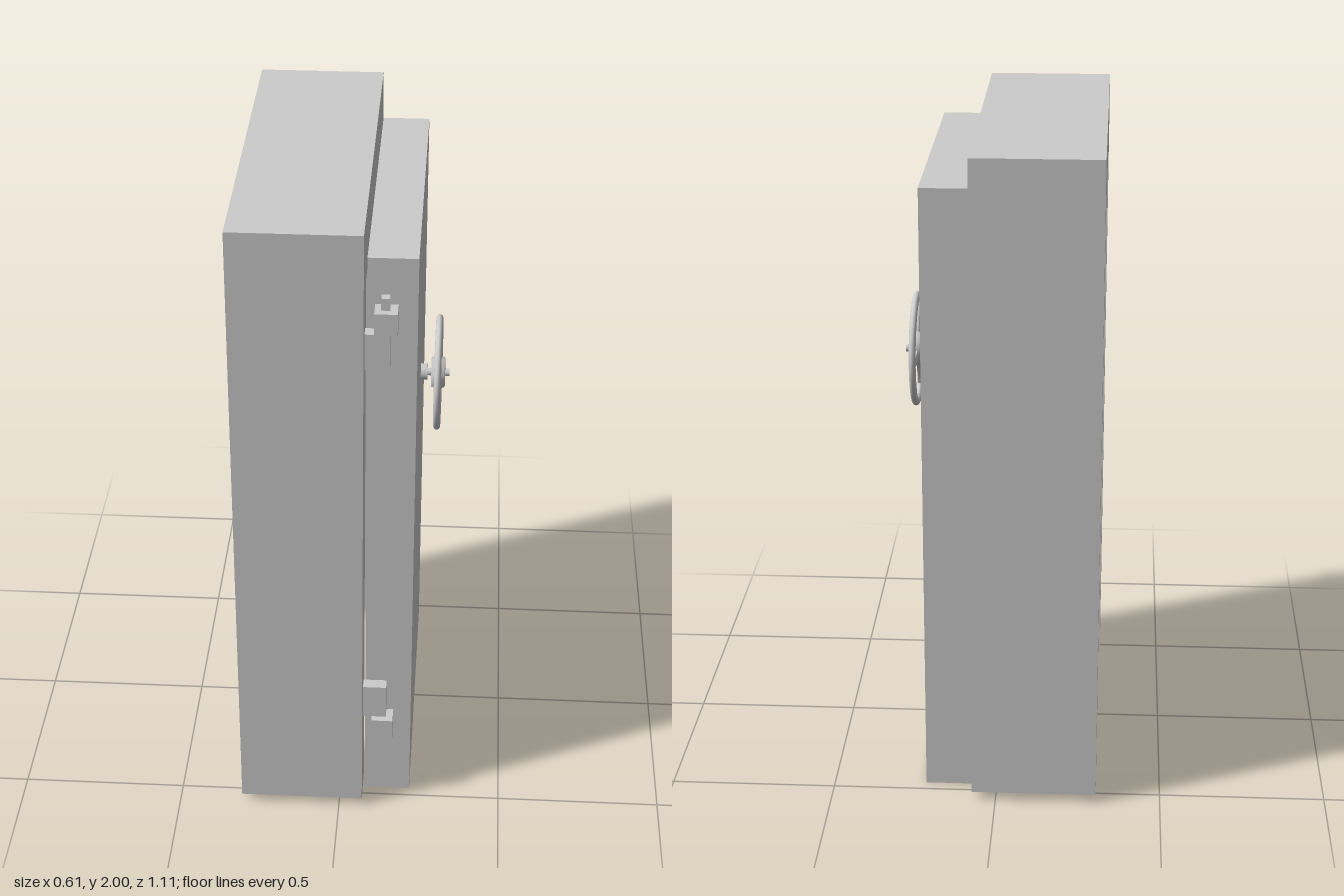
import * as THREE from 'three';

export function createModel() {
  const model = new THREE.Group();
  const material = new THREE.MeshStandardMaterial({ color: 0xcccccc });

  function add(parent, name, geometry) {
    const mesh = new THREE.Mesh(geometry, material);
    mesh.name = name;
    parent.add(mesh);
    return mesh;
  }
  // Box given by its extents along each axis
  function box(parent, name, [x0, x1], [y0, y1], [z0, z1]) {
    const mesh = add(parent, name, new THREE.BoxGeometry(x1 - x0, y1 - y0, z1 - z0));
    mesh.position.set((x0 + x1) / 2, (y0 + y1) / 2, (z0 + z1) / 2);
  }

  // Door frame: a deep arch, open at the bottom, extruded along +x
  const arch = new THREE.Shape();
  [[-0.557, 0.027], [-0.435, 0.027], [-0.435, 1.806], [0.435, 1.806],
    [0.435, 0.027], [0.557, 0.027], [0.557, 2], [-0.557, 2]]
    .forEach(([u, v], i) => (i ? arch.lineTo(u, v) : arch.moveTo(u, v)));
  const frame = new THREE.ExtrudeGeometry(arch, { depth: 0.377, bevelEnabled: false });
  frame.rotateY(Math.PI / 2).translate(-0.305, 0, 0);
  add(model, 'doorFrame', frame);

  // Door slab
  box(model, 'door', [0.077, 0.218], [0, 1.89], [-0.463, 0.468]);

  // Two hinges, mirrored about mid height
  for (const side of [1, -1]) {
    const hinge = new THREE.Group();
    hinge.name = side > 0 ? 'upperHinge' : 'lowerHinge';
    const ys = (a, b) => (side > 0 ? [a, b] : [2 - b, 2 - a]);
    box(hinge, 'frameBracket', [0.07, 0.143], ys(1.562, 1.675), [0.475, 0.512]);
    box(hinge, 'doorBracket', [0.099, 0.164], ys(1.68, 1.748), [0.467, 0.527]);
    box(hinge, 'hingePin', [0.117, 0.142], ys(1.6, 1.785), [0.481, 0.505]);
    model.add(hinge);
  }

  // Handwheel, built around its axis along +x
  const wheel = new THREE.Group();
  wheel.name = 'handwheel';
  wheel.position.set(0.218, 1.26, -0.003);
  model.add(wheel);

  function axial(name, radius, x0, x1) {
    const g = new THREE.CylinderGeometry(radius, radius, x1 - x0, 32);
    g.rotateZ(-Math.PI / 2).translate((x0 + x1) / 2, 0, 0);
    add(wheel, name, g);
  }
  axial('shaftCollar', 0.025, -0.005, 0.02);
  axial('shaft', 0.011, 0, 0.087);

  // Stepped hub
  const hubProfile = [[0, 0.032], [0.047, 0.032], [0.047, 0.044], [0.052, 0.046], [0.052, 0.06],
    [0.047, 0.062], [0.047, 0.071], [0.042, 0.074], [0, 0.074]];
  const hub = new THREE.LatheGeometry(hubProfile.map(([r, h]) => new THREE.Vector2(r, h)), 40);
  add(wheel, 'hub', hub.rotateZ(-Math.PI / 2));

  // Rim, slightly flattened along the axis
  const rim = new THREE.TorusGeometry(0.164, 0.0125, 16, 64);
  rim.scale(1, 1, 0.85).rotateY(Math.PI / 2).translate(0.053, 0, 0);
  add(wheel, 'rim', rim);

  // Three gently curved spokes, flared at the rim
  const spokeShape = new THREE.Shape();
  spokeShape.moveTo(0.04, 0.008);
  spokeShape.quadraticCurveTo(0.1, -0.004, 0.16, 0.015);
  spokeShape.lineTo(0.16, -0.016);
  spokeShape.quadraticCurveTo(0.1, -0.026, 0.04, -0.018);
  for (let i = 0; i < 3; i++) {
    const spoke = new THREE.ExtrudeGeometry(spokeShape, {
      depth: 0.006, bevelThickness: 0.003, bevelSize: 0.002, bevelSegments: 2, curveSegments: 10,
    });
    spoke.translate(0, 0, 0.05).rotateZ((i * Math.PI * 2) / 3).rotateY(Math.PI / 2);
    add(wheel, 'spoke', spoke);
  }
  return model;
}
